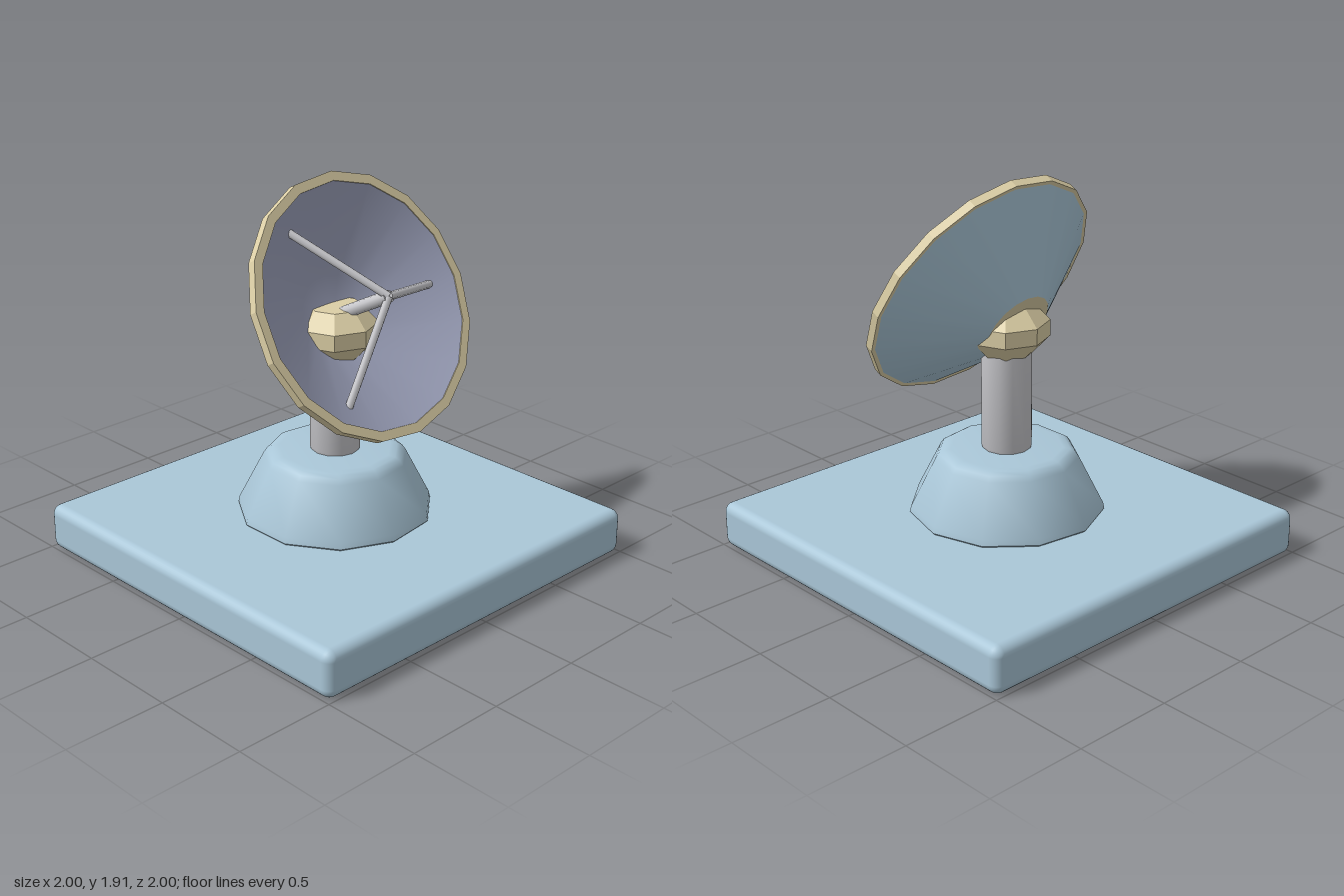
import * as THREE from 'three';
import { toCreasedNormals } from 'three/addons/utils/BufferGeometryUtils.js';
import { RoundedBoxGeometry } from 'three/addons/geometries/RoundedBoxGeometry.js';

const paint = (name, color) => {
  const m = new THREE.MeshStandardMaterial({ color });
  m.name = name;
  return m;
};

export function createModel() {
  const blue = paint('pale blue', 0xaac7d8);
  const tan = paint('tan', 0xdccfa6);
  const steel = paint('light steel', 0xc9c9cd);
  const lavender = paint('lavender grey', 0x9a9fb8);

  const model = new THREE.Group();
  model.name = 'dishAntenna';

  const add = (parent, name, geometry, material) => {
    const mesh = new THREE.Mesh(geometry, material);
    mesh.name = name;
    parent.add(mesh);
    return mesh;
  };

  // Profile of [radius, height] pairs turned around y, first corner at +x
  const turned = (profile, sides, crease) => toCreasedNormals(
    new THREE.LatheGeometry(profile.map(([r, y]) => new THREE.Vector2(r, y)), sides, Math.PI / 2),
    crease);

  // Square slab with rounded edges
  add(model, 'baseSlab', new RoundedBoxGeometry(2, 0.235, 2, 3, 0.05), blue).position.y = 0.1175;

  // Tapered pedestal with a softened shoulder
  add(model, 'pedestal', turned([
    [0, 0.23], [0.465, 0.23], [0.48, 0.245], [0.474, 0.275],
    [0.352, 0.515], [0.335, 0.54], [0.31, 0.555], [0.275, 0.56], [0, 0.56],
  ], 11, 0.75), blue);

  // Post and faceted knuckle
  add(model, 'post', turned([
    [0, 0.55], [0.115, 0.55], [0.125, 0.575], [0.125, 1.06], [0, 1.06],
  ], 12, 0.7), steel);
  add(model, 'knuckle', turned([
    [0, 1.04], [0.12, 1.04], [0.207, 1.13], [0.207, 1.21], [0.13, 1.29], [0, 1.29],
  ], 8, 0.1), tan);

  // Dish head: local y is the dish axis, local origin is the centre of the rim's front
  const head = new THREE.Group();
  head.name = 'dishHead';
  head.position.set(0, 1.347, 0.21);
  head.rotation.x = THREE.MathUtils.degToRad(62.15);
  model.add(head);

  const sides = 17;
  add(head, 'dishBack', turned([[0.18, -0.325], [0.63, -0.04]], sides, 0.6), blue);
  add(head, 'dishBackCap', turned([[0, -0.325], [0.18, -0.325]], sides, 0.6), tan);
  add(head, 'dishBowl', turned([[0.598, -0.003], [0.2, -0.23], [0, -0.25]], sides, 0.6), lavender);
  add(head, 'dishRim', turned([
    [0.59, -0.045], [0.642, -0.045], [0.642, 0], [0.596, 0], [0.59, -0.045],
  ], sides, 0.2), tan);

  // Round bar between two points
  const bar = (name, from, to, radius, segments) => {
    const along = to.clone().sub(from);
    const mesh = add(head, name,
      new THREE.CylinderGeometry(radius, radius, along.length(), segments), steel);
    mesh.position.copy(from).addScaledVector(along, 0.5);
    mesh.quaternion.setFromUnitVectors(new THREE.Vector3(0, 1, 0), along.normalize());
  };

  // Feed rod on the axis and three struts meeting at its tip
  const tip = new THREE.Vector3(0, 0.16, 0);
  bar('feedRod', new THREE.Vector3(0, -0.22, 0), tip, 0.031, 10);
  for (let i = 0; i < 3; i++) {
    const a = (i * 2 * Math.PI) / 3;
    const foot = new THREE.Vector3(0.49 * Math.cos(a), -0.075, 0.49 * Math.sin(a));
    bar('strut', foot, tip, 0.02, 8);
  }

  return model;
}
